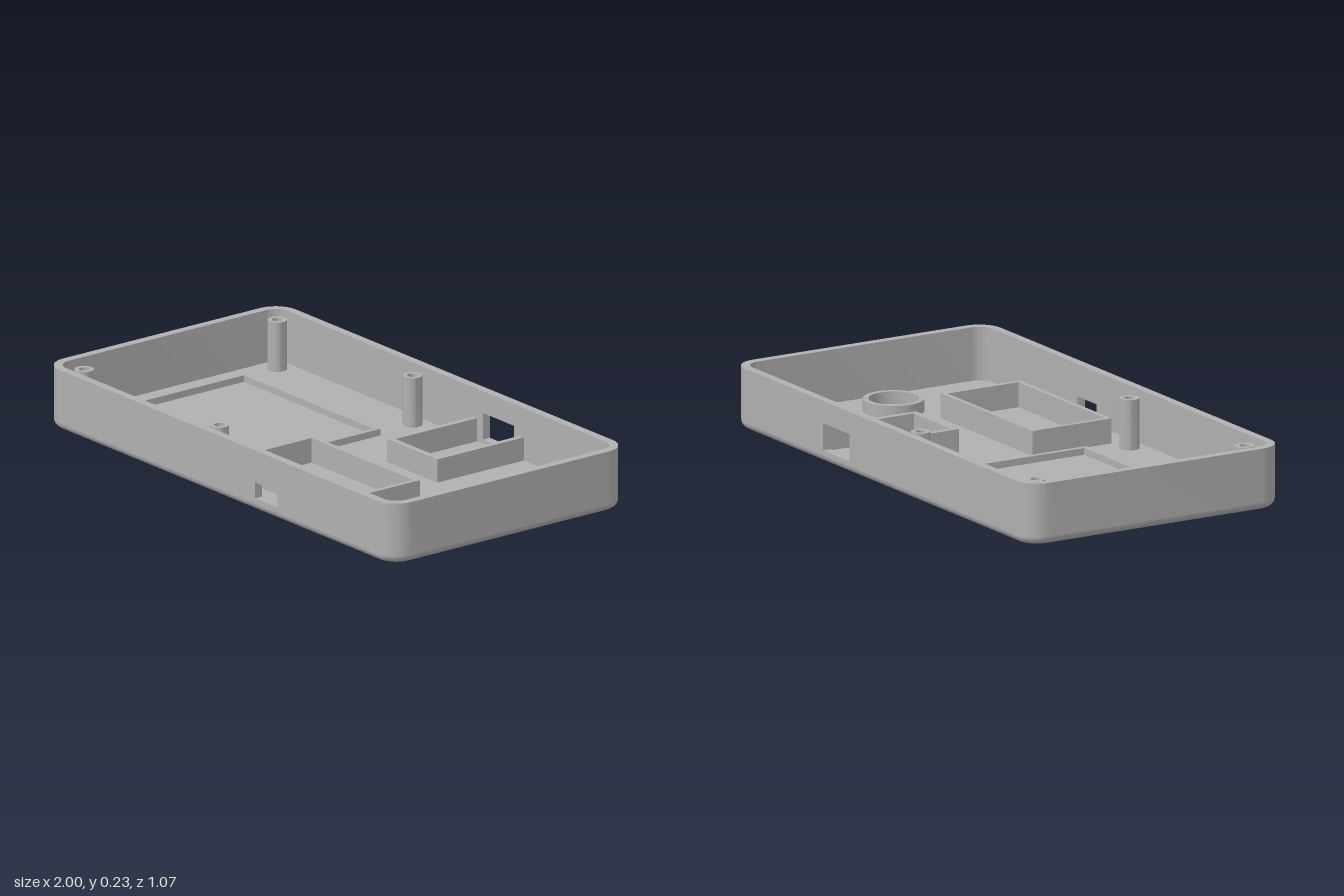
import * as THREE from 'three';
import { toCreasedNormals } from 'three/addons/utils/BufferGeometryUtils.js';

const X = 1, Z = 0.535, TOP = 0.227; // outer half sizes and rim height
const W = 0.032, R = 0.09;           // wall thickness, corner radius
const F = 0.03;                      // floor thickness and bottom fillet
const CX = X - R, CZ = Z - R;        // corner centres
const POSTS = [[-0.89, -0.437], [-0.89, 0.437], [-0.115, -0.437], [-0.115, 0.437]];

const grey = new THREE.MeshStandardMaterial({ color: 0xb0b0b0 });
grey.name = 'grey plastic';

function part(name, geometry, parent) {
  const mesh = new THREE.Mesh(geometry, grey);
  mesh.name = name;
  parent.add(mesh);
  return mesh;
}

// Closed rectangle outline
function rect(x0, x1, y0, y1, Type = THREE.Shape) {
  const s = new Type();
  s.moveTo(x0, y0);
  s.lineTo(x1, y0);
  s.lineTo(x1, y1);
  s.lineTo(x0, y1);
  s.closePath();
  return s;
}

// Plan shape (x, -z) raised from y0 to y1
function raise(shape, y0, y1) {
  const g = new THREE.ExtrudeGeometry(shape, { depth: y1 - y0, bevelEnabled: false, curveSegments: 10 });
  g.rotateX(-Math.PI / 2).translate(0, y0, 0);
  return toCreasedNormals(g, Math.PI / 6);
}

// Rounded floor outline with the screw holes
function floorShape(inset, hole) {
  const s = new THREE.Shape(), r = R - inset;
  s.absarc(CX, CZ, r, 0, Math.PI / 2);
  s.absarc(-CX, CZ, r, Math.PI / 2, Math.PI);
  s.absarc(-CX, -CZ, r, Math.PI, Math.PI * 1.5);
  s.absarc(CX, -CZ, r, Math.PI * 1.5, Math.PI * 2);
  s.closePath();
  for (const [x, z] of POSTS) {
    const h = new THREE.Path();
    h.absarc(x, z, hole, 0, Math.PI * 2, true);
    s.holes.push(h);
  }
  return new THREE.ShapeGeometry(s, 12);
}

// Rounded lower edge: quarter-circle section swept round the outline
function filletGeometry() {
  const pos = [], nor = [], index = [], N = 10, M = 6, count = 4 * (N + 1);
  for (let j = 0; j <= M; j++) {
    const t = (j / M) * Math.PI / 2;
    const r = R - F + F * Math.cos(t), y = F - F * Math.sin(t);
    for (let q = 0; q < 4; q++) {
      const cx = q === 0 || q === 3 ? CX : -CX, cy = q < 2 ? CZ : -CZ;
      for (let i = 0; i <= N; i++) {
        const a = (q + i / N) * Math.PI / 2;
        pos.push(cx + r * Math.cos(a), y, -(cy + r * Math.sin(a)));
        nor.push(Math.cos(a) * Math.cos(t), -Math.sin(t), -Math.sin(a) * Math.cos(t));
      }
    }
  }
  for (let j = 0; j < M; j++) {
    for (let i = 0; i < count; i++) {
      const a = j * count + i, b = j * count + (i + 1) % count;
      index.push(a, a + count, b, b, a + count, b + count);
    }
  }
  const g = new THREE.BufferGeometry();
  g.setAttribute('position', new THREE.Float32BufferAttribute(pos, 3));
  g.setAttribute('normal', new THREE.Float32BufferAttribute(nor, 3));
  g.setIndex(index);
  return g;
}

// Straight long wall with one rectangular opening
function longWall(z0, x0, x1, y0, y1) {
  const s = rect(-CX, CX, F, TOP);
  s.holes.push(rect(x0, x1, y0, y1, THREE.Path));
  return new THREE.ExtrudeGeometry(s, { depth: W, bevelEnabled: false }).translate(0, 0, z0);
}

// End wall with its two rounded corners
function endWall() {
  const s = new THREE.Shape(), h = Math.PI / 2;
  s.moveTo(CX, -Z);
  s.absarc(CX, -CZ, R, -h, 0);
  s.absarc(CX, CZ, R, 0, h);
  s.lineTo(CX, Z - W);
  s.absarc(CX, CZ, R - W, h, 0, true);
  s.absarc(CX, -CZ, R - W, 0, -h, true);
  s.closePath();
  return raise(s, F, TOP);
}

// Rectangular frame standing on the floor
function frame(x0, x1, z0, z1, t, y1) {
  const s = rect(x0, x1, -z1, -z0);
  s.holes.push(rect(x0 + t, x1 - t, -z1 + t, -z0 - t, THREE.Path));
  return raise(s, F, y1);
}

function lathe(profile, segments) {
  const pts = profile.map(([x, y]) => new THREE.Vector2(x, y));
  return toCreasedNormals(new THREE.LatheGeometry(pts, segments), Math.PI / 6);
}

export function createModel() {
  const model = new THREE.Group();
  model.name = 'enclosureTray';

  // Shell
  const shell = new THREE.Group();
  shell.name = 'shell';
  model.add(shell);
  part('underside', floorShape(F, 0.029).rotateX(Math.PI / 2), shell);
  part('floor', floorShape(W, 0.03).rotateX(-Math.PI / 2).translate(0, F, 0), shell);
  part('bottomEdge', filletGeometry(), shell);
  part('frontWall', longWall(Z - W, 0.214, 0.342, 0.048, 0.107), shell);
  part('backWall', longWall(-Z, 0.205, 0.385, 0.045, 0.145), shell);
  part('leftWall', endWall(), shell);
  part('rightWall', endWall().rotateY(Math.PI), shell);

  // Hollow screw posts, counterbored from below
  const post = lathe([[0.035, F], [0.035, 0.215], [0.019, 0.215], [0.019, 0.04], [0.029, 0.04], [0.029, 0]], 24);
  for (const [x, z] of POSTS) part('screwPost', post, model).position.set(x, 0, z);

  // Compartments on the floor
  part('lowFrame', frame(-0.87, -0.09, -0.273, 0.27, 0.019, 0.055), model);
  part('frontCompartment', frame(-0.027, 0.59, 0.085, 0.417, 0.018, 0.122), model);

  // Three-sided compartment open to the back wall
  const x0 = 0.15, x1 = 0.44, t = 0.022, back = Z - W, front = 0.112;
  const u = new THREE.Shape([
    [x0, back], [x0, front], [x1, front], [x1, back],
    [x1 - t, back], [x1 - t, front + t], [x0 + t, front + t], [x0 + t, back],
  ].map(([x, y]) => new THREE.Vector2(x, y)));
  part('backCompartment', raise(u, F, 0.117), model);

  // Round holder
  const ring = lathe([[0.11, F], [0.11, 0.075], [0.09, 0.075], [0.09, F]], 48);
  part('roundHolder', ring, model).position.set(0.77, 0, 0);

  return model;
}
